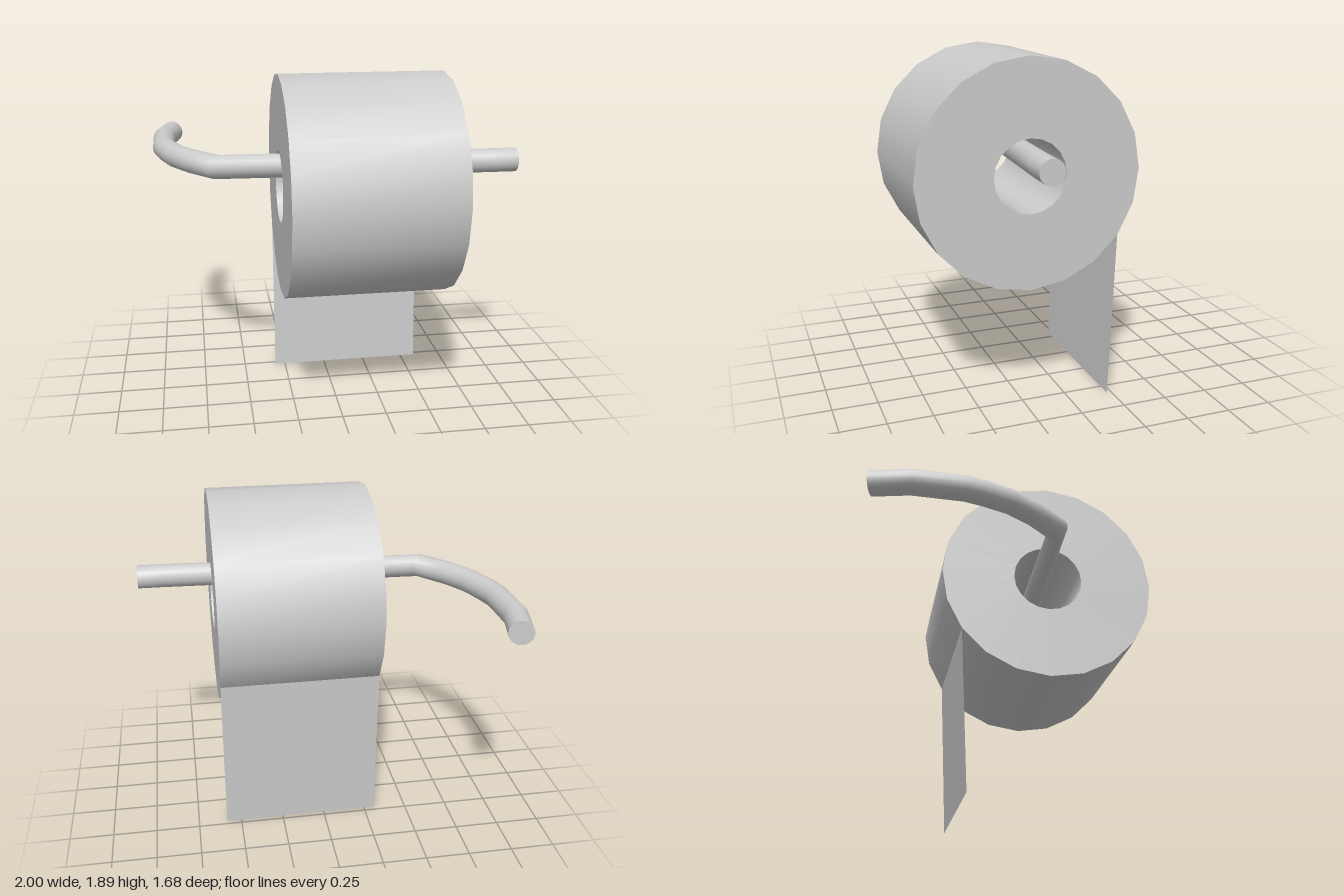
import * as THREE from 'three';
import { toCreasedNormals } from 'three/addons/utils/BufferGeometryUtils.js';

const LEFT = 0.585, RIGHT = -0.31;       // ends of the roll along x
const ROLL_Y = 1.28, ROLL_Z = 0.23;      // roll axis
const OUTER = 0.608, INNER = 0.197;

// Hollow roll, turned around the x axis
function rollGeometry() {
  const h = (LEFT - RIGHT) / 2;
  const profile = [[INNER, -h], [OUTER, -h], [OUTER, h], [INNER, h], [INNER, -h]]
    .map(([r, y]) => new THREE.Vector2(r, y));
  const geo = new THREE.LatheGeometry(profile, 20);
  geo.rotateZ(-Math.PI / 2);
  return toCreasedNormals(geo, 0.6);
}

// Round bar lofted through rings [x, z, heading in degrees], with flat ends
function barGeometry(rings, y, radius, sides) {
  const pos = [], index = [];
  for (const [x, z, deg] of rings) {
    const a = THREE.MathUtils.degToRad(deg);
    for (let j = 0; j < sides; j++) {
      const t = (j / sides) * Math.PI * 2, s = radius * Math.cos(t);
      pos.push(x - s * Math.sin(a), y + radius * Math.sin(t), z + s * Math.cos(a));
    }
  }
  const last = (rings.length - 1) * sides;
  const startCentre = pos.length / 3, endCentre = startCentre + 1;
  for (const [x, z] of [rings[0], rings[rings.length - 1]]) pos.push(x, y, z);
  for (let j = 0; j < sides; j++) {
    const k = (j + 1) % sides;
    for (let i = 0; i < last; i += sides) {
      index.push(i + j, i + k, i + sides + j, i + k, i + sides + k, i + sides + j);
    }
    index.push(startCentre, k, j, endCentre, last + j, last + k);
  }
  const geo = new THREE.BufferGeometry();
  geo.setAttribute('position', new THREE.Float32BufferAttribute(pos, 3));
  geo.setIndex(index);
  return toCreasedNormals(geo, 1.0);
}

// Hanging sheet: leaves the back of the roll and slants slightly forward
function sheetGeometry() {
  const a = Math.PI / 5;
  const topY = ROLL_Y - OUTER * Math.sin(a), topZ = ROLL_Z - OUTER * Math.cos(a);
  const geo = new THREE.BufferGeometry();
  geo.setAttribute('position', new THREE.Float32BufferAttribute([
    LEFT, topY, topZ, RIGHT, topY, topZ, RIGHT, 0, topZ + 0.04, LEFT, 0, topZ + 0.04,
  ], 3));
  geo.setIndex([0, 2, 1, 0, 3, 2]);
  geo.computeVertexNormals();
  return geo;
}

export function createModel() {
  const group = new THREE.Group();
  group.name = 'paperRollHolder';
  const grey = new THREE.MeshStandardMaterial({ color: 0xcccccc });
  const thin = new THREE.MeshStandardMaterial({ color: 0xcccccc, side: THREE.DoubleSide });
  const add = (name, geo, material) => {
    const mesh = new THREE.Mesh(geo, material);
    mesh.name = name;
    group.add(mesh);
    return mesh;
  };

  add('paperRoll', rollGeometry(), grey).position.set((LEFT + RIGHT) / 2, ROLL_Y, ROLL_Z);
  add('hangingSheet', sheetGeometry(), thin);

  // Straight rod through the roll, then a curved arm back to the wall
  const path = [
    [1, 0.278, 0], [0.87, 0.276, 1], [-0.643, 0.206, 46], [-0.773, 0.048, 54],
    [-0.858, -0.096, 66], [-0.906, -0.24, 75], [-0.93, -0.337, 82],
    [-0.935, -0.615, 92], [-0.888, -0.816, 109],
  ];
  add('holderBar', barGeometry(path, 1.395, 0.066, 20), grey);
  return group;
}
